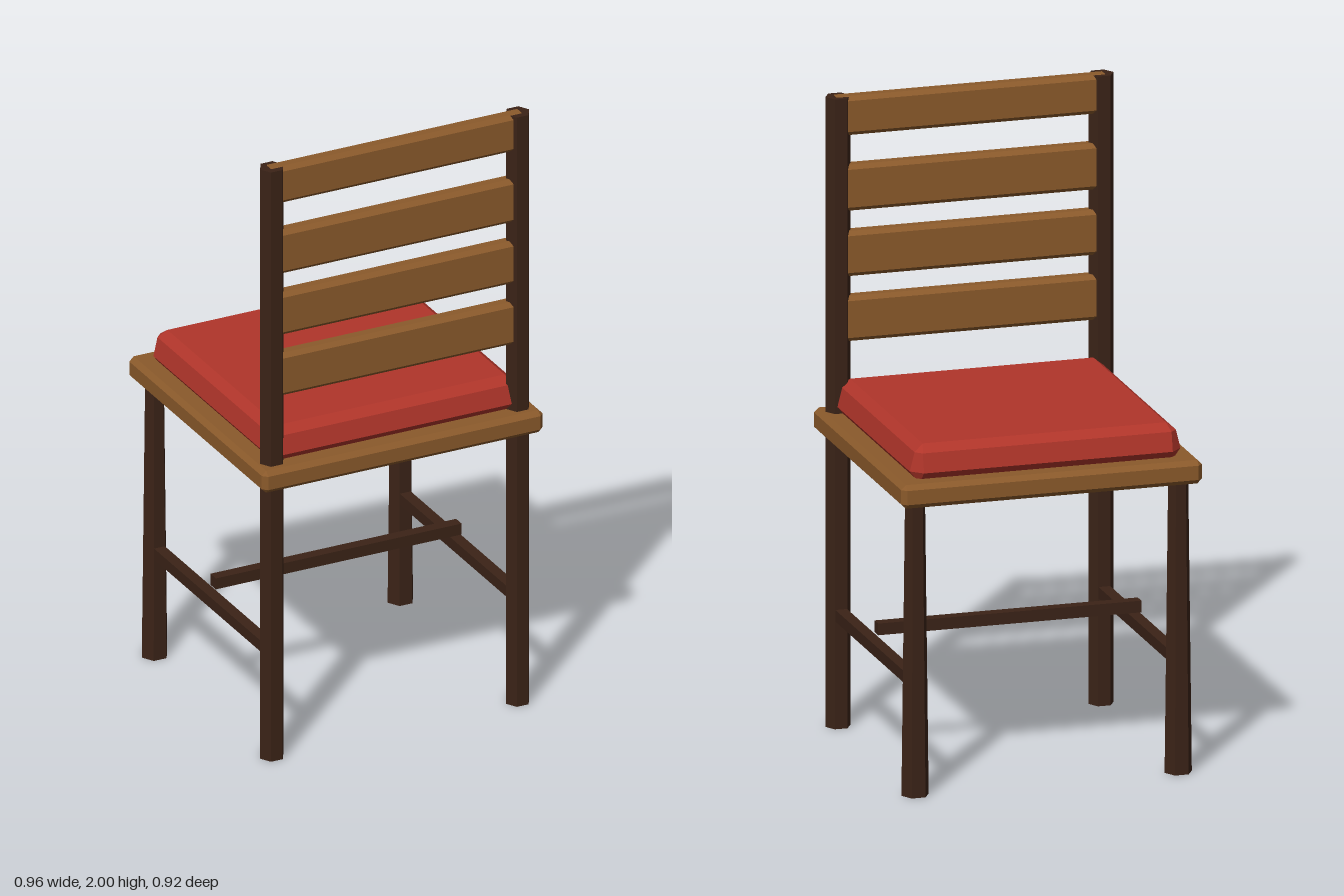
import * as THREE from 'three';
import { ConvexGeometry } from 'three/addons/geometries/ConvexGeometry.js';

const SIGNS = [-1, 1];

// Box with every edge and corner chamfered by b.
function chamferBox(w, h, d, b) {
  const x = w / 2, y = h / 2, z = d / 2, points = [];
  for (const i of SIGNS) for (const j of SIGNS) for (const k of SIGNS) {
    points.push(
      new THREE.Vector3(i * x, j * (y - b), k * (z - b)),
      new THREE.Vector3(i * (x - b), j * y, k * (z - b)),
      new THREE.Vector3(i * (x - b), j * (y - b), k * z));
  }
  return new ConvexGeometry(points);
}

// Padded block from stacked rectangles [y, half x, half z, corner cut].
function layeredPad(layers) {
  const points = [];
  for (const [y, x, z, cut] of layers) for (const i of SIGNS) for (const k of SIGNS) {
    points.push(new THREE.Vector3(i * x, y, k * (z - cut)));
    if (cut > 0) points.push(new THREE.Vector3(i * (x - cut), y, k * z));
  }
  return new ConvexGeometry(points);
}

// Six-sided post standing on the floor, with a corner pointing along x.
function hexPost(top, bottom, height) {
  return new THREE.CylinderGeometry(top, bottom, height, 6, 1, false, Math.PI / 6)
    .translate(0, height / 2, 0);
}

export function createModel() {
  const group = new THREE.Group();
  const material = (color) => new THREE.MeshStandardMaterial({ color, flatShading: true });
  const wood = material(0x8b5a2b);
  const darkWood = material(0x3b2317);
  const fabric = material(0xb0352a);

  const add = (name, geometry, mat, x = 0, y = 0, z = 0) => {
    const mesh = new THREE.Mesh(geometry, mat);
    mesh.name = name;
    mesh.position.set(x, y, z);
    group.add(mesh);
  };

  const legX = 0.42, legZ = 0.394;

  // Seat board and cushion
  add('seat', chamferBox(0.96, 0.075, 0.92, 0.015), wood, 0, 0.9625, 0);
  add('cushion', layeredPad([
    [1.0, 0.415, 0.395, 0.015],
    [1.022, 0.432, 0.413, 0.035],
    [1.082, 0.417, 0.4, 0.02],
    [1.105, 0.388, 0.37, 0],
  ]), fabric);

  // Tall back posts, tapered front legs and side stretchers
  for (const s of SIGNS) {
    const side = s > 0 ? 'left' : 'right';
    add(`${side}BackPost`, hexPost(0.04, 0.04, 1.998), darkWood, s * legX, 0, legZ);
    add(`${side}FrontLeg`, hexPost(0.032, 0.0435, 0.94), darkWood, s * legX, 0, -legZ);
    add(`${side}Stretcher`, new THREE.BoxGeometry(0.037, 0.037, 2 * legZ), darkWood, s * legX, 0.36, 0);
  }
  add('crossStretcher', new THREE.BoxGeometry(2 * legX, 0.037, 0.037), darkWood, 0, 0.42, 0);

  // Back slats: [centre height, slat height]
  const slats = [[1.294, 0.143], [1.5, 0.143], [1.709, 0.146], [1.938, 0.124]];
  slats.forEach(([y, h], i) =>
    add(`backSlat${i + 1}`, chamferBox(0.88, h, 0.054, 0.013), wood, 0, y, 0.392));

  return group;
}
